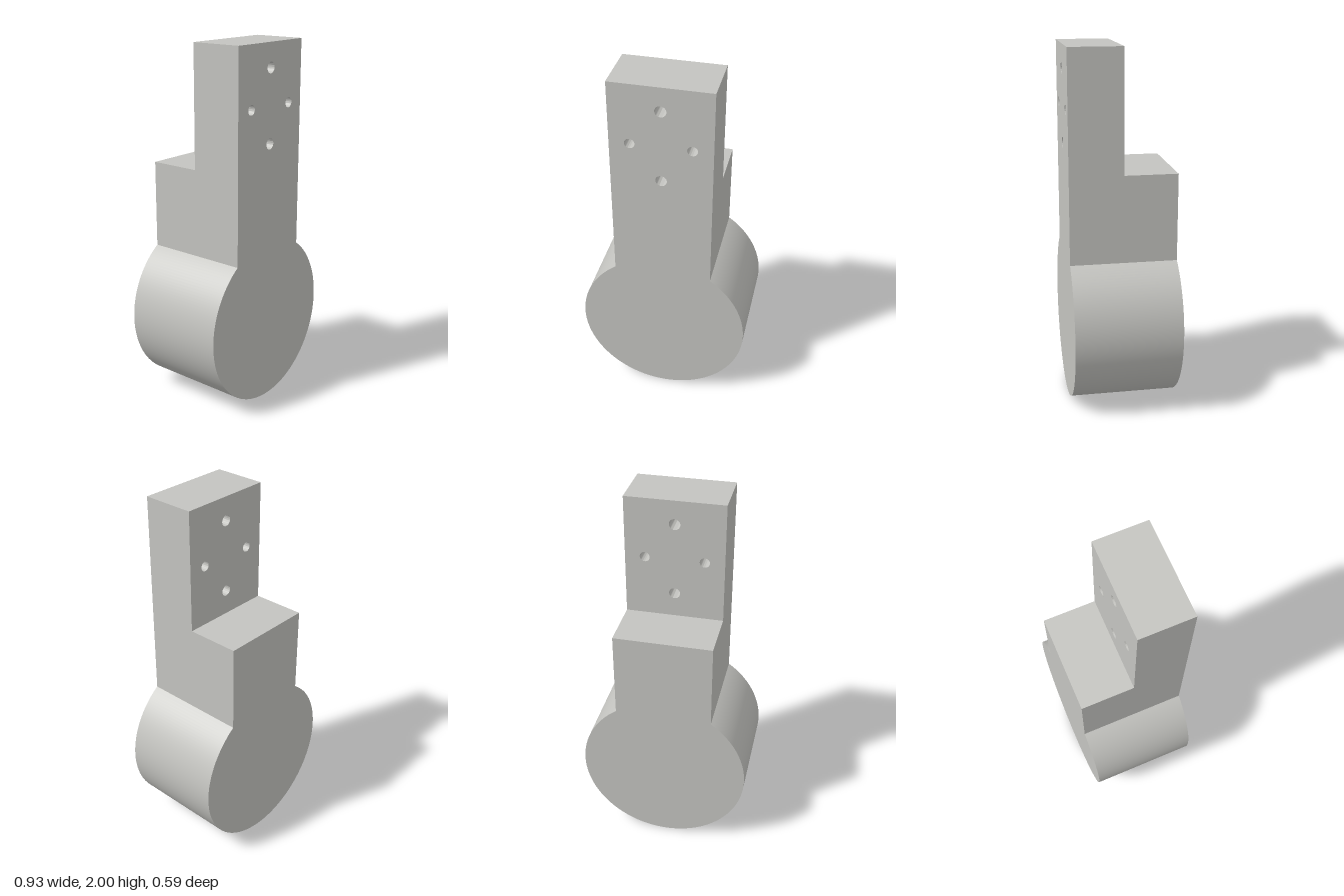
import * as THREE from 'three';
import { toCreasedNormals } from 'three/addons/utils/BufferGeometryUtils.js';

const R = 0.467;        // round foot radius
const W = 0.267;        // half width of the shank
const D = 0.293;        // half depth
const STEP = 1.333;     // height of the rear shoulder
const TOP = 2;

const steel = new THREE.MeshStandardMaterial({ color: 0xc4c4c0 });
steel.name = 'light warm grey';

function extrude(name, shape, z0, z1) {
  const geometry = new THREE.ExtrudeGeometry(shape, {
    depth: z1 - z0, bevelEnabled: false, curveSegments: 72,
  });
  geometry.translate(0, 0, z0);
  const mesh = new THREE.Mesh(toCreasedNormals(geometry, Math.PI / 6), steel);
  mesh.name = name;
  return mesh;
}

export function createModel() {
  const group = new THREE.Group();
  group.name = 'drilledBracket';

  // Round foot flowing into the full-depth shank
  const a = Math.acos(W / R);
  const body = new THREE.Shape();
  body.moveTo(W, STEP);
  body.lineTo(-W, STEP);
  body.absarc(0, R, R, Math.PI - a, a, false);
  body.closePath();
  group.add(extrude('footAndShank', body, -D, D));

  // Half-depth mounting tongue with four through holes
  const tongue = new THREE.Shape([
    new THREE.Vector2(-W, STEP), new THREE.Vector2(W, STEP),
    new THREE.Vector2(W, TOP), new THREE.Vector2(-W, TOP),
  ]);
  const holes = [[0, 1.87, 0.03], [0, 1.47, 0.03], [-0.16, 1.67, 0.027], [0.16, 1.67, 0.027]];
  for (const [x, y, r] of holes) {
    const hole = new THREE.Path();
    hole.absarc(x, y, r, 0, Math.PI * 2, true);
    tongue.holes.push(hole);
  }
  group.add(extrude('mountingTongue', tongue, 0, D));

  return group;
}
